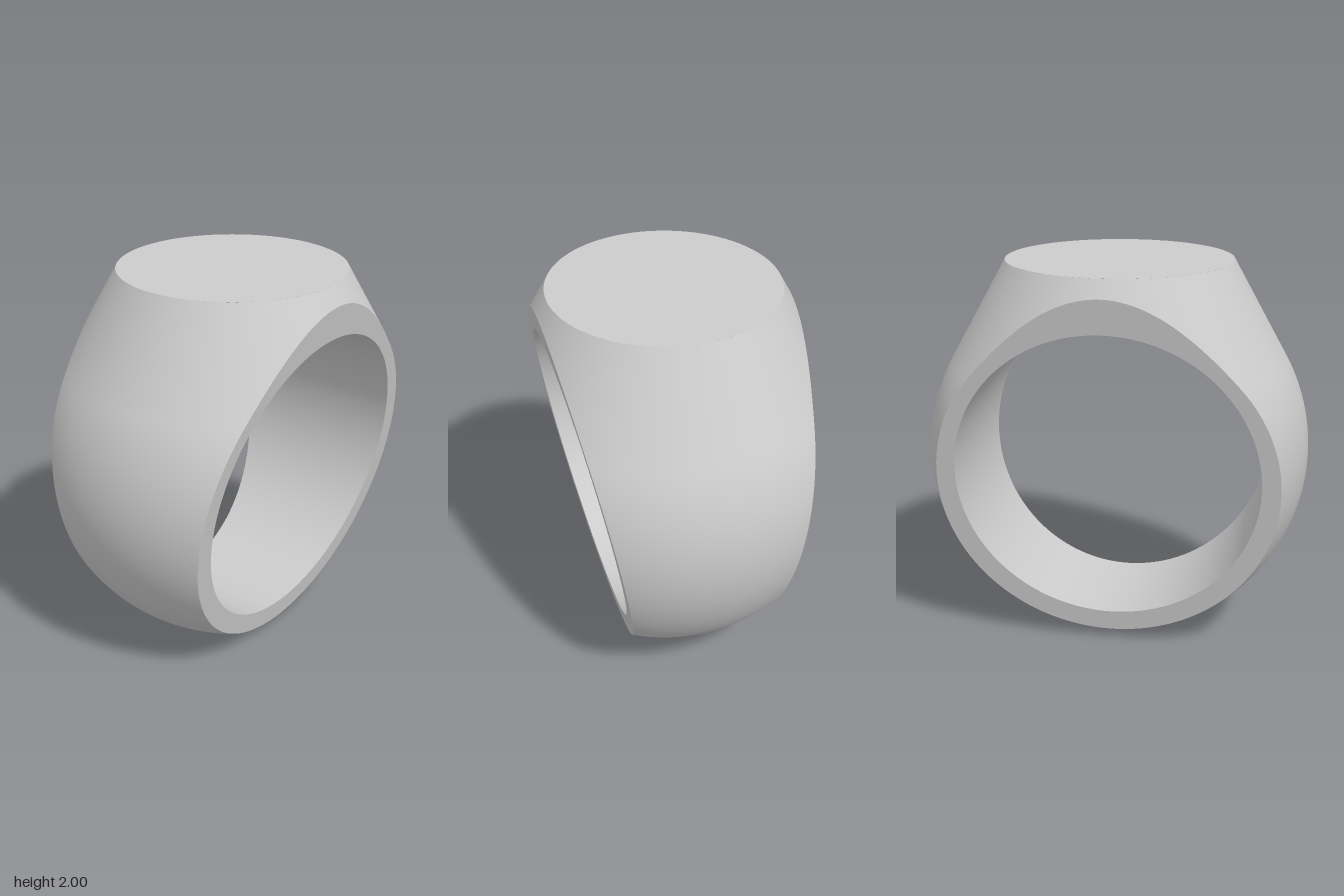
import * as THREE from 'three';

const TOP_Y = 2, TOP_R = 0.59;          // flat round table
const BORE_Y = 0.945, BORE_R = 0.785;   // finger hole
const SLOPE = 0.1774;                   // lean of the side faces
const TILT = 0.505;                     // angle where the cone meets the unit sphere

const halfWidth = y => 0.301 + SLOPE * y;

// Radius of the solid around the y axis: unit sphere with a tangent cone above
function bodyRadius(y) {
  if (y > 1 + Math.sin(TILT)) return (1 - (y - 1) * Math.sin(TILT)) / Math.cos(TILT);
  return Math.sqrt(Math.max(0, 1 - (y - 1) ** 2));
}

function bodyNormal(p) {
  if (p.y <= 1 + Math.sin(TILT)) return new THREE.Vector3(p.x, p.y - 1, p.z).normalize();
  const r = Math.hypot(p.x, p.z);
  return new THREE.Vector3(p.x / r * Math.cos(TILT), Math.sin(TILT), p.z / r * Math.cos(TILT));
}

// Point at an angle and distance from the bore axis; z is a function of y
function polar(angle, rho, zOf) {
  const y = BORE_Y + rho * Math.sin(angle);
  return new THREE.Vector3(rho * Math.cos(angle), y, zOf(y));
}

// Walk out from the bore until the body surface is reached
function onBody(angle, zOf) {
  let lo = BORE_R, hi = 1.6;
  for (let i = 0; i < 40; i++) {
    const mid = (lo + hi) / 2, p = polar(angle, mid, zOf);
    if (bodyRadius(p.y) > Math.hypot(p.x, p.z)) lo = mid; else hi = mid;
  }
  return polar(angle, lo, zOf);
}

// Stations around the ring: even along the table rim, then even round the rest
const stations = [];
for (let i = 0; i <= 64; i++) {
  const u = Math.PI * i / 64, x = TOP_R * Math.cos(u);
  stations.push({ angle: Math.atan2(TOP_Y - BORE_Y, x), rimZ: TOP_R * Math.sin(u) });
}
const first = stations[0].angle, last = stations[64].angle;
for (let i = 1; i <= 144; i++) {
  stations.push({ angle: last + (first + 2 * Math.PI - last) * i / 144, rimZ: 0 });
}

// Surface swept round the ring; at(station, v) returns [point, normal]
function sweep(rows, at, flip) {
  const pos = [], nor = [], idx = [], n = rows + 1;
  stations.forEach((st, i) => {
    for (let j = 0; j <= rows; j++) {
      const [p, normal] = at(st, j / rows);
      pos.push(p.x, p.y, p.z);
      nor.push(normal.x, normal.y, normal.z);
      if (i && j) {
        const a = (i - 1) * n + j - 1, b = a + n;
        if (flip) idx.push(a, a + 1, b, b, a + 1, b + 1);
        else idx.push(a, b, a + 1, b, b + 1, a + 1);
      }
    }
  });
  const g = new THREE.BufferGeometry();
  g.setAttribute('position', new THREE.Float32BufferAttribute(pos, 3));
  g.setAttribute('normal', new THREE.Float32BufferAttribute(nor, 3));
  g.setIndex(idx);
  return g;
}

export function createModel() {
  const ring = new THREE.Group();
  ring.name = 'signetRing';
  const material = new THREE.MeshStandardMaterial({ color: 0xcccccc });
  const add = (name, geometry) => {
    const mesh = new THREE.Mesh(geometry, material);
    mesh.name = name;
    ring.add(mesh);
    return mesh;
  };

  for (const s of [1, -1]) {
    const label = s > 0 ? 'front' : 'back';
    const faceZ = y => s * halfWidth(y);

    // Rounded outside, from the table rim or centre line out to the side face
    add(label + 'OuterBand', sweep(20, (st, v) => {
      const edge = onBody(st.angle, faceZ);
      const z = THREE.MathUtils.lerp(s * st.rimZ, edge.z, v);
      const p = v === 1 ? edge : onBody(st.angle, () => z);
      return [p, bodyNormal(p)];
    }, s < 0));

    // Flat leaning side face around the bore
    const faceNormal = new THREE.Vector3(0, -SLOPE, s).normalize();
    add(label + 'SideFace', sweep(1, (st, v) => [
      v ? onBody(st.angle, faceZ) : polar(st.angle, BORE_R, faceZ), faceNormal,
    ], s > 0));
  }

  // Finger hole wall
  add('bore', sweep(4, (st, v) => [
    polar(st.angle, BORE_R, y => (2 * v - 1) * halfWidth(y)),
    new THREE.Vector3(-Math.cos(st.angle), -Math.sin(st.angle), 0),
  ], true));

  // Flat round top
  const table = add('table', new THREE.CircleGeometry(TOP_R, 128));
  table.rotation.x = -Math.PI / 2;
  table.position.y = TOP_Y;

  return ring;
}
